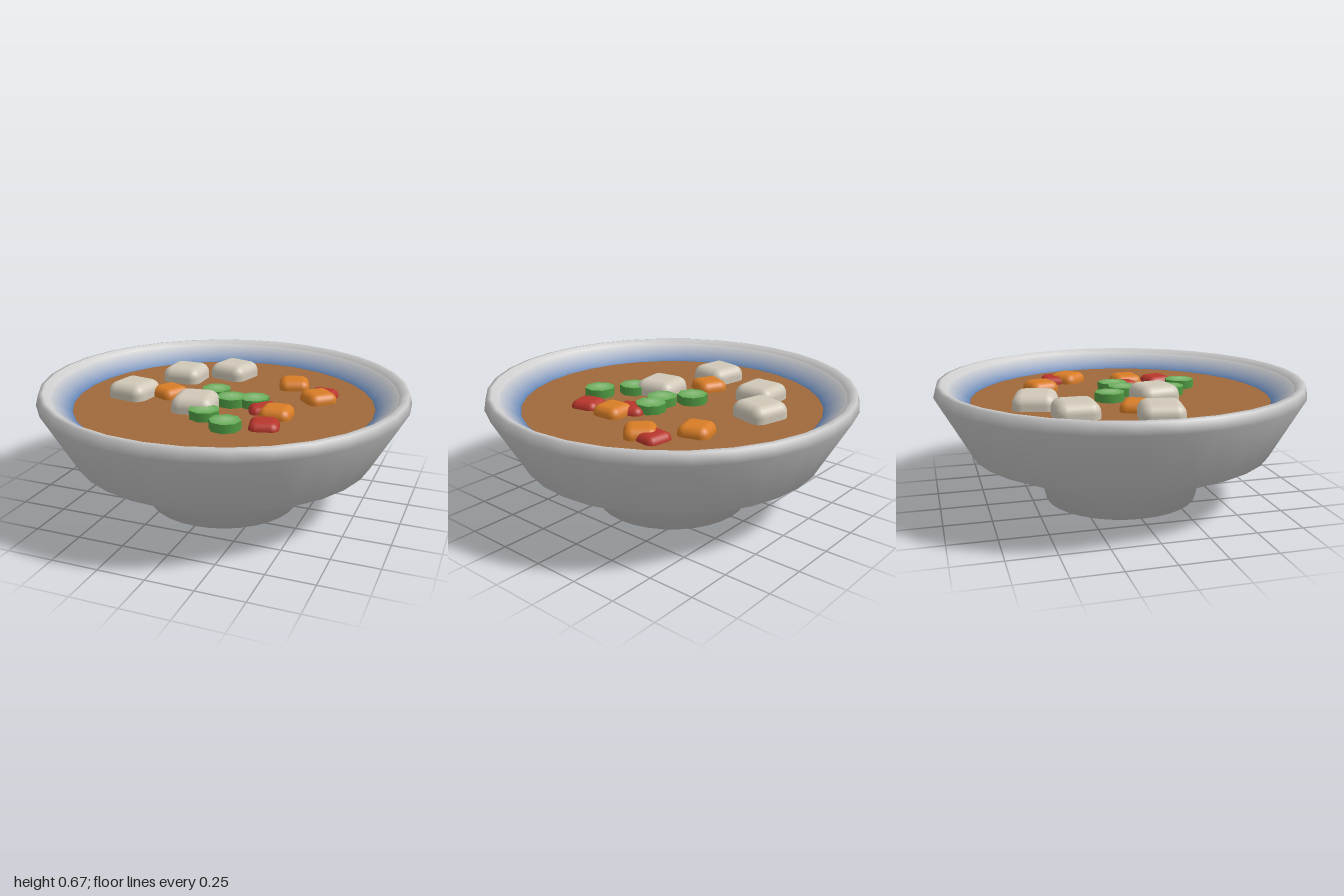
import * as THREE from 'three';
import { RoundedBoxGeometry } from 'three/addons/geometries/RoundedBoxGeometry.js';

const SOUP_Y = 0.56;
const SIDES = 32;
const mat = (color, side = THREE.FrontSide) => new THREE.MeshStandardMaterial({ color, side });

function add(parent, name, geometry, material) {
  const mesh = new THREE.Mesh(geometry, material);
  mesh.name = name;
  parent.add(mesh);
  return mesh;
}

const lathe = (points, sides) =>
  new THREE.LatheGeometry(points.map(([r, y]) => new THREE.Vector2(r, y)), sides);

// Straight surface of revolution split into rings that fade from one colour to another
function fadedRings(parent, name, from, to, colorA, colorB, count, sides) {
  const a = new THREE.Vector2(...from), b = new THREE.Vector2(...to);
  const ca = new THREE.Color(colorA), cb = new THREE.Color(colorB);
  for (let i = 0; i < count; i++) {
    const p = a.clone().lerp(b, i / count), q = a.clone().lerp(b, (i + 1) / count);
    const color = ca.clone().lerp(cb, (i + 0.5) / count);
    add(parent, name, new THREE.LatheGeometry([p, q], sides), mat(color, THREE.DoubleSide));
  }
}

export function createModel() {
  const model = new THREE.Group();
  model.name = 'soupBowl';

  // Bowl: closed foot, flared body and rounded rim
  add(model, 'bowl', lathe([
    [0, 0], [0.42, 0], [0.45, 0.12], [0.82, 0.29], [1.0, 0.61],
    [0.985, 0.665], [0.96, 0.67], [0.935, 0.645],
  ], SIDES), mat(0xcccccc, THREE.DoubleSide));

  // Inner wall, fading to blue glaze near the soup
  const wall = new THREE.Group();
  wall.name = 'glazedWall';
  model.add(wall);
  fadedRings(wall, 'glazeRing', [0.935, 0.645], [0.81, SOUP_Y - 0.004], 0xcccccc, 0x4a78b0, 10, SIDES);

  // Soup surface
  const soup = add(model, 'soup', new THREE.CircleGeometry(0.815, SIDES), mat(0xa0683a));
  soup.rotation.x = -Math.PI / 2;
  soup.position.y = SOUP_Y;

  // Floating cubes: [x, z, turn]
  const cubes = [
    {
      name: 'tofuCube', color: 0xd0c8b8, size: 0.23, height: 0.18, radius: 0.055, top: 0.645,
      at: [[-0.37, -0.33, 0], [-0.125, -0.49, -0.25], [-0.51, 0.07, -0.17], [-0.1, 0.16, 0.15]],
    },
    {
      name: 'carrotCube', color: 0xd87d26, size: 0.17, height: 0.12, radius: 0.045, top: 0.615,
      at: [[0.28, -0.395, 0.3], [0.475, -0.2, 0.75], [-0.325, 0, -0.45], [0.34, 0.12, 0.05]],
    },
    {
      name: 'pepperCube', color: 0xb8362c, size: 0.155, height: 0.11, radius: 0.04, top: 0.6,
      at: [[0.48, -0.28, -0.12], [0.25, 0.07, 0.4], [0.335, 0.305, 0.25]],
    },
  ];
  for (const c of cubes) {
    const geometry = new RoundedBoxGeometry(c.size, c.height, c.size, 3, c.radius);
    const material = mat(c.color);
    for (const [x, z, turn] of c.at) {
      const cube = add(model, c.name, geometry, material);
      cube.position.set(x, c.top - c.height / 2, z);
      cube.rotation.y = turn;
    }
  }

  // Spring onion slices: eight-sided discs, paler in the middle
  const onion = new THREE.Group();
  onion.name = 'onionSlice';
  add(onion, 'onionSkin', new THREE.CylinderGeometry(0.083, 0.083, 0.07, 8, 1, true), mat(0x4f9a42));
  fadedRings(onion, 'onionTop', [0.083, 0.035], [0, 0.04], 0x5fa850, 0x8fbf80, 4, 8);
  [[-0.075, -0.08], [0.055, 0.027], [0.175, 0], [0, 0.28], [0.16, 0.395]].forEach(([x, z], i) => {
    const slice = onion.clone();
    slice.position.set(x, 0.572, z);
    slice.rotation.y = 0.25 * i;
    model.add(slice);
  });

  return model;
}
